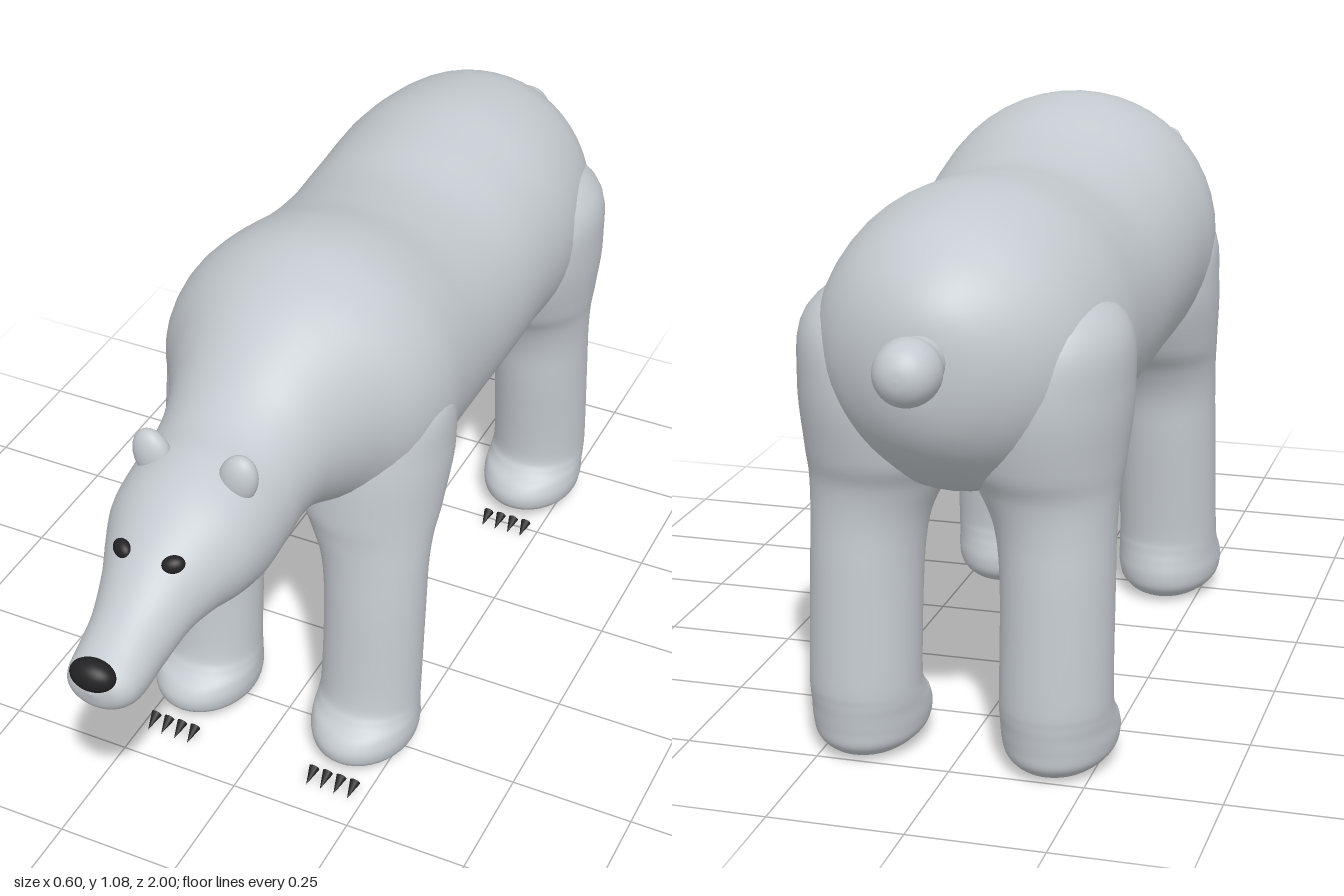
import * as THREE from 'three';

const material = (name, color) => {
  const m = new THREE.MeshStandardMaterial({ color });
  m.name = name;
  return m;
};

// Smooth closed skin through oval sections; each row is [s, u0, u1, v0, v1].
// place(s, u, v) turns a section point into [x, y, z].
function loft(rows, place, steps = 6, sides = 48) {
  const spline = new THREE.CubicInterpolant(rows.map((_, i) => i), rows.flat(), 5);
  const rings = (rows.length - 1) * steps;
  const pos = [], index = [];
  for (let i = 0; i <= rings; i++) {
    const [s, u0, u1, v0, v1] = spline.evaluate(Math.min(i / steps, rows.length - 1));
    for (let j = 0; j < sides; j++) {
      const a = (j / sides) * Math.PI * 2;
      pos.push(...place(s,
        (u0 + u1) / 2 + Math.cos(a) * (u1 - u0) / 2,
        (v0 + v1) / 2 + Math.sin(a) * (v1 - v0) / 2));
      if (i === rings) continue;
      const k = (j + 1) % sides, p = i * sides, q = p + sides;
      index.push(p + j, p + k, q + k, p + j, q + k, q + j);
    }
  }
  const g = new THREE.BufferGeometry();
  g.setAttribute('position', new THREE.Float32BufferAttribute(pos, 3));
  g.setIndex(index);
  g.computeVertexNormals();
  return g;
}

export function createModel() {
  const root = new THREE.Group();
  root.name = 'bear';
  const fur = material('pale fur', 0xc4cacf);
  const dark = material('dark nose, eyes and claws', 0x222224);

  const add = (name, geometry, mat, x = 0, y = 0, z = 0) => {
    const mesh = new THREE.Mesh(geometry, mat);
    mesh.name = name;
    mesh.position.set(x, y, z);
    root.add(mesh);
    return mesh;
  };
  const ball = (rx, ry, rz) => new THREE.SphereGeometry(1, 32, 20).scale(rx, ry, rz);

  // Body, neck and head from rump to snout: [z, half width, bottom, top]
  const body = [
    [-0.882, 0.001, 0.779, 0.781],
    [-0.873, 0.06, 0.7, 0.86],
    [-0.845, 0.125, 0.635, 0.915],
    [-0.79, 0.195, 0.575, 0.965],
    [-0.7, 0.25, 0.515, 1.012],
    [-0.55, 0.278, 0.49, 1.035],
    [-0.4, 0.277, 0.5, 1.025],
    [-0.25, 0.278, 0.507, 1.01],
    [-0.1, 0.281, 0.512, 1.03],
    [0.03, 0.287, 0.514, 1.067],
    [0.13, 0.29, 0.52, 1.08],
    [0.22, 0.268, 0.55, 1.067],
    [0.3, 0.218, 0.595, 1.04],
    [0.38, 0.175, 0.626, 0.995],
    [0.45, 0.156, 0.632, 0.945],
    [0.52, 0.153, 0.62, 0.915],
    [0.59, 0.152, 0.61, 0.905],
    [0.66, 0.142, 0.624, 0.885],
    [0.72, 0.118, 0.636, 0.855],
    [0.78, 0.093, 0.63, 0.815],
    [0.85, 0.076, 0.607, 0.765],
    [0.91, 0.071, 0.598, 0.732],
    [0.95, 0.065, 0.61, 0.712],
    [0.975, 0.045, 0.63, 0.698],
    [0.985, 0.001, 0.664, 0.666],
  ];
  add('body', loft(body.map(([z, w, b, t]) => [z, -w, w, b, t]), (s, u, v) => [u, v, s]), fur);

  // Legs with paws, flaring into shoulder and hip: [y, back, front, inner x, outer x]
  const legs = {
    front: [
      [0.001, 0.2, 0.202, 0.18, 0.182],
      [0.008, 0.16, 0.29, 0.12, 0.238],
      [0.03, 0.133, 0.375, 0.083, 0.275],
      [0.06, 0.128, 0.392, 0.073, 0.285],
      [0.09, 0.134, 0.378, 0.073, 0.284],
      [0.115, 0.14, 0.347, 0.075, 0.282],
      [0.16, 0.142, 0.328, 0.077, 0.281],
      [0.35, 0.125, 0.312, 0.075, 0.28],
      [0.45, 0.115, 0.302, 0.062, 0.28],
      [0.52, 0.085, 0.298, 0.03, 0.283],
      [0.58, 0.04, 0.298, 0, 0.289],
      [0.7, 0, 0.285, 0, 0.296],
      [0.82, 0.04, 0.24, 0.05, 0.28],
      [0.9, 0.12, 0.16, 0.12, 0.16],
    ],
    back: [
      [0.001, -0.69, -0.688, 0.18, 0.182],
      [0.008, -0.74, -0.61, 0.12, 0.238],
      [0.03, -0.768, -0.525, 0.083, 0.275],
      [0.06, -0.773, -0.508, 0.073, 0.285],
      [0.09, -0.776, -0.522, 0.073, 0.284],
      [0.115, -0.778, -0.553, 0.075, 0.282],
      [0.16, -0.778, -0.567, 0.077, 0.281],
      [0.35, -0.765, -0.55, 0.075, 0.28],
      [0.45, -0.757, -0.54, 0.062, 0.28],
      [0.52, -0.762, -0.515, 0.03, 0.284],
      [0.58, -0.783, -0.475, 0, 0.292],
      [0.7, -0.798, -0.44, 0, 0.302],
      [0.82, -0.765, -0.47, 0.05, 0.285],
      [0.92, -0.64, -0.6, 0.12, 0.16],
    ],
  };
  const claw = new THREE.ConeGeometry(0.011, 0.04, 12).rotateX(Math.PI / 2 + 0.35);

  for (const side of [1, -1]) {
    const label = side > 0 ? 'Left' : 'Right';
    for (const [end, rows] of Object.entries(legs)) {
      const sided = rows.map(([y, z0, z1, a, b]) =>
        side > 0 ? [y, z0, z1, a, b] : [y, z0, z1, -b, -a]);
      add(`${end}${label}Leg`, loft(sided, (s, u, v) => [v, s, u], 5, 40), fur);
      for (let i = 0; i < 4; i++) {
        add(`${end}${label}Claw${i + 1}`, claw, dark,
          side * (0.135 + i * 0.03), 0.022, end === 'front' ? 0.428 : -0.472);
      }
    }

    // Ears and eyes
    const ear = add(`ear${label}`, ball(0.037, 0.052, 0.026), fur, side * 0.085, 0.879, 0.595);
    ear.rotation.z = -side * 0.25;
    const eye = add(`eye${label}`, ball(0.021, 0.016, 0.013), dark, side * 0.05, 0.808, 0.772);
    eye.rotation.set(-0.65, side * 0.3, side * 0.45);
  }

  // Nose
  add('nose', ball(0.043, 0.03, 0.028), dark, 0, 0.7, 0.972);

  // Round tail on a narrow root
  const tail = [[0.04, 0], [0.045, 0.04], [0.046, 0.065], [0.056, 0.09], [0.058, 0.11],
    [0.053, 0.135], [0.04, 0.155], [0.02, 0.167], [0, 0.17]];
  const profile = new THREE.SplineCurve(tail.map(([r, h]) => new THREE.Vector2(r, h))).getPoints(32);
  profile.forEach((p) => { p.x = Math.max(p.x, 0); });
  add('tail', new THREE.LatheGeometry(profile, 32).rotateX(-Math.PI / 2), fur, 0, 0.798, -0.83);

  return root;
}
